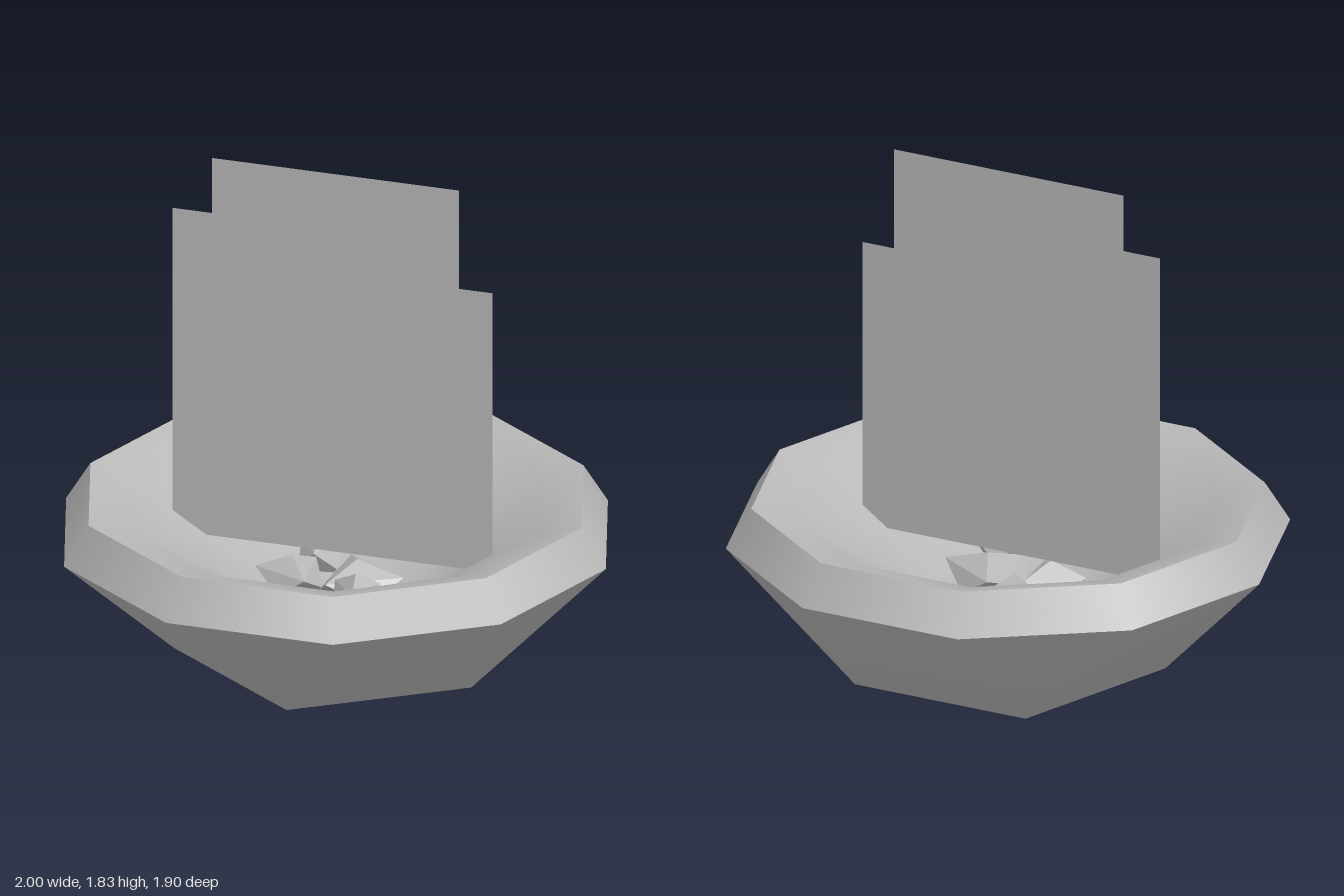
import * as THREE from 'three';
import { ConvexGeometry } from 'three/addons/geometries/ConvexGeometry.js';

const SIDES = 10;
const START = Math.PI / 10;

function surface(positions, index) {
  const geometry = new THREE.BufferGeometry();
  geometry.setAttribute('position', new THREE.Float32BufferAttribute(positions, 3));
  geometry.setIndex(index);
  geometry.computeVertexNormals();
  return geometry;
}

// Points of a regular ring, angle measured from +z towards +x
function ring(count, radius, y, start, zOffset = 0) {
  const out = [];
  for (let i = 0; i < count; i++) {
    const a = start + (i / count) * Math.PI * 2;
    out.push(Math.sin(a) * radius, y, Math.cos(a) * radius + zOffset);
  }
  return out;
}

function lathe(profile) {
  return new THREE.LatheGeometry(profile.map(([r, y]) => new THREE.Vector2(r, y)), SIDES, START);
}

// Chunky coal: a high corner, three shoulder corners, three low corners
function coal([ax, ay, az], shoulders, lows) {
  const points = [new THREE.Vector3(ax, ay, az), new THREE.Vector3(ax, ay - 0.19, az)];
  shoulders.forEach(([x, z]) => points.push(new THREE.Vector3(x, ay - 0.05, z)));
  lows.forEach(([x, z]) => points.push(new THREE.Vector3(x, ay - 0.12, z)));
  return new ConvexGeometry(points);
}

export function createModel() {
  const model = new THREE.Group();
  model.name = 'brazier';
  const stone = new THREE.MeshStandardMaterial({ color: 0xb8b8b8 });
  stone.name = 'grey';
  const sheet = new THREE.MeshStandardMaterial({ color: 0xb8b8b8, side: THREE.DoubleSide });
  sheet.name = 'grey sheet';

  const add = (name, geometry, material = stone) => {
    const mesh = new THREE.Mesh(geometry, material);
    mesh.name = name;
    model.add(mesh);
  };

  // Outer wall: five-sided foot blending into a ten-sided brim
  const foot = ring(5, 0.578, 0, 0, -0.035);
  const brim = ring(SIDES, 1, 0.455, START);
  const wall = [];
  const base = [];
  for (let k = 0; k < 5; k++) {
    const p = k, q = (k + 1) % 5;
    const before = 5 + (2 * k + 9) % 10, t = 5 + 2 * k, after = t + 1;
    wall.push(p, t, before, p, q, after, p, after, t);
    if (k > 0 && k < 4) base.push(0, k + 1, k);
  }
  add('bowlOuterWall', surface([...foot, ...brim], wall));
  add('bowlBase', surface(foot, base));

  // Sloped rim and hollow
  add('bowlRim', lathe([[1, 0.455], [0.91, 0.6]]));
  add('bowlInside', lathe([[0.91, 0.6], [0.755, 0.555], [0.48, 0.385], [0.28, 0.25], [0, 0.24]]));

  // Coals in the hollow
  add('coalRight', coal([0.08, 0.37, 0],
    [[0.01, -0.14], [0.25, 0], [0.01, 0.15]], [[0.12, -0.12], [0.17, 0.12], [-0.05, 0.05]]));
  add('coalLeft', coal([-0.15, 0.37, 0.04],
    [[-0.1, -0.08], [-0.28, 0.06], [-0.07, 0.145]], [[-0.2, -0.05], [-0.17, 0.14], [-0.04, 0.02]]));
  add('coalBack', coal([-0.11, 0.38, -0.15],
    [[-0.19, -0.19], [-0.04, -0.2], [-0.11, -0.08]], [[-0.1, -0.22], [-0.18, -0.11], [-0.04, -0.13]]));
  add('coalFront', coal([0.14, 0.4, 0.2],
    [[0.05, 0.16], [0.21, 0.14], [0.155, 0.285]], [[0.11, 0.12], [0.065, 0.23], [0.21, 0.2]]));

  // Flat stepped flame sheet
  const flame = new THREE.Shape([
    [-0.48, 0.385], [0.48, 0.385], [0.58, 0.455], [0.58, 1.45], [0.455, 1.45],
    [0.455, 1.825], [-0.46, 1.825], [-0.46, 1.615], [-0.605, 1.615], [-0.605, 0.46],
  ].map(([x, y]) => new THREE.Vector2(x, y)));
  add('flameSheet', new THREE.ShapeGeometry(flame), sheet);

  return model;
}
